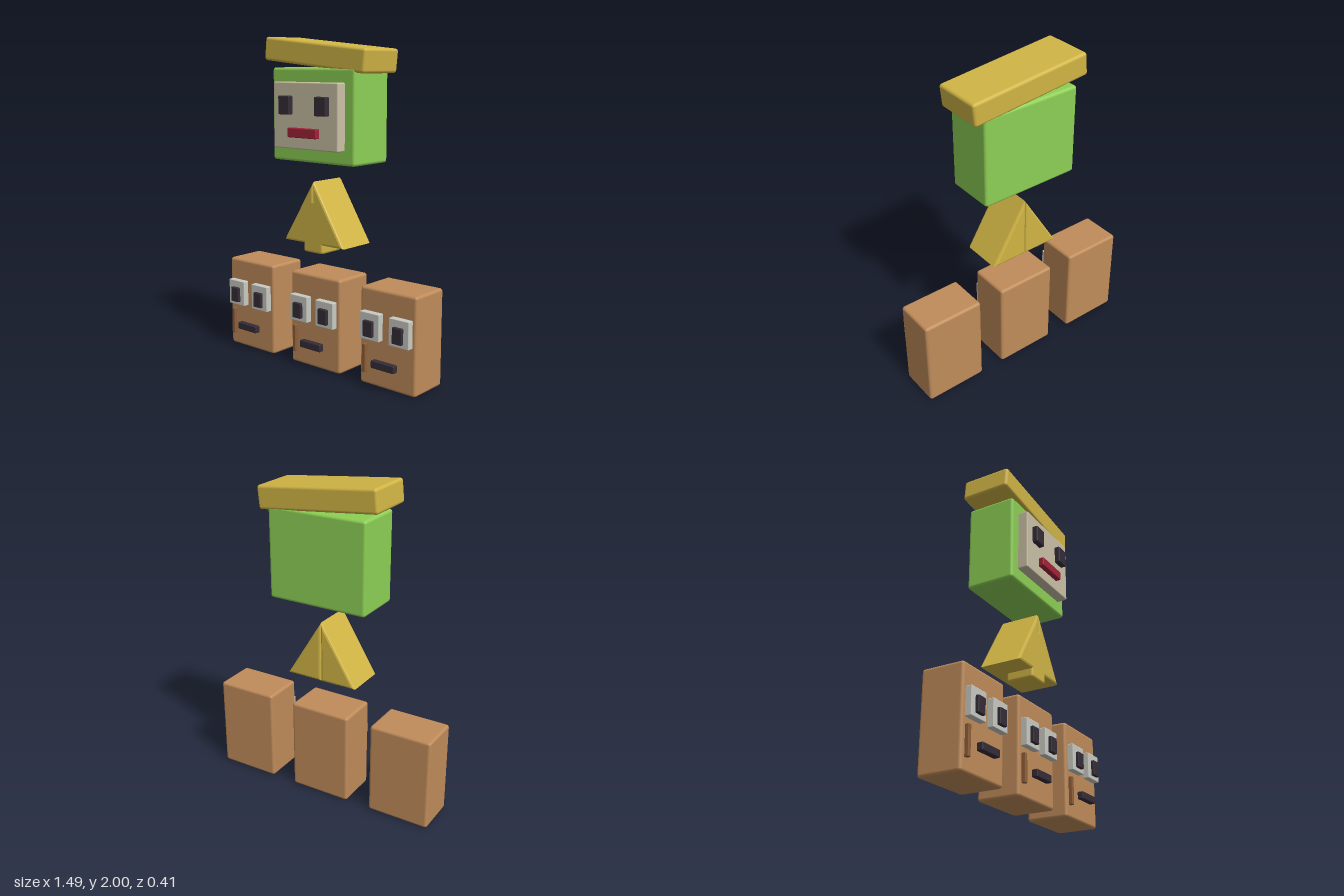
import * as THREE from 'three';
import { RoundedBoxGeometry } from 'three/addons/geometries/RoundedBoxGeometry.js';
import { ConvexGeometry } from 'three/addons/geometries/ConvexGeometry.js';

const mat = (name, color) => {
  const m = new THREE.MeshStandardMaterial({ color });
  m.name = name;
  return m;
};

// Rounded box given by its extents on each axis
function box(name, material, [x0, x1], [y0, y1], [z0, z1], r) {
  const mesh = new THREE.Mesh(new RoundedBoxGeometry(x1 - x0, y1 - y0, z1 - z0, 2, r), material);
  mesh.position.set((x0 + x1) / 2, (y0 + y1) / 2, (z0 + z1) / 2);
  mesh.name = name;
  return mesh;
}

// Right-angled wedge with softened front and back edges; side is +1 or -1
function wedge(name, material, side) {
  const w = 0.233, y0 = 0.777, y1 = 1.155, zBack = -0.157, zFront = 0.107, r = 0.013;
  const base = Math.atan2(y1 - y0, w), apex = Math.PI / 2 - base;
  const points = [];
  for (const [inset, depth] of [[r, 0], [r * 0.3, r * 0.3], [0, r]]) {
    const corners = [
      [inset, y0 + inset],
      [w - inset / Math.tan(base / 2), y0 + inset],
      [inset, y1 - inset / Math.tan(apex / 2)],
    ];
    for (const z of [zBack + depth, zFront - depth])
      for (const [x, y] of corners) points.push(new THREE.Vector3(side * x, y, z));
  }
  const mesh = new THREE.Mesh(new ConvexGeometry(points), material);
  mesh.name = name;
  return mesh;
}

export function createModel() {
  const green = mat('green', 0x8dd055);
  const yellow = mat('yellow', 0xd1b545);
  const brown = mat('brown', 0xc08c5a);
  const darkBrown = mat('dark brown', 0x8f5f38);
  const cream = mat('cream', 0xcbc1a6);
  const white = mat('off white', 0xcbcbc5);
  const dark = mat('near black', 0x352d38);
  const red = mat('red', 0xa32238);

  const model = new THREE.Group();
  model.name = 'stackedFaces';

  // Row of three brown block faces
  for (const x of [-0.548, 0, 0.548]) {
    const block = new THREE.Group();
    block.name = 'blockFace';
    block.position.x = x;
    block.add(box('block', brown, [-0.197, 0.197], [0, 0.583], [-0.178, 0.087], 0.018));
    for (const s of [-1, 1]) {
      const c = s * 0.103;
      block.add(
        box('eyeWhite', white, [c - 0.069, c + 0.069], [0.283, 0.446], [0.08, 0.125], 0.005),
        box('pupil', dark, [c - 0.033, c + 0.033], [0.307, 0.402], [0.115, 0.145], 0.005));
    }
    block.add(
      box('mouth', dark, [-0.081, 0.081], [0.127, 0.172], [0.1, 0.138], 0.006),
      box('cheekBar', darkBrown, [-0.167, -0.143], [0.077, 0.247], [0.085, 0.11], 0.004));
    model.add(block);
  }

  // Triangle of two wedges joined by a flush foot block
  const triangle = new THREE.Group();
  triangle.name = 'triangle';
  triangle.add(
    wedge('leftWedge', yellow, 1),
    wedge('rightWedge', yellow, -1),
    box('triangleFoot', yellow, [-0.076, 0.076], [0.723, 1.04], [-0.072, 0.107], 0.016));
  model.add(triangle);

  // Green head with a raised face plate
  const head = new THREE.Group();
  head.name = 'head';
  head.add(
    box('headBlock', green, [-0.318, 0.318], [1.266, 1.82], [-0.202, 0.11], 0.018),
    box('facePlate', cream, [-0.248, 0.248], [1.349, 1.737], [0.09, 0.173], 0.008),
    box('mouth', red, [-0.11, 0.11], [1.418, 1.474], [0.165, 0.205], 0.006));
  for (const s of [-1, 1])
    head.add(box('eye', dark, [s * 0.14 - 0.043, s * 0.14 + 0.043], [1.549, 1.658], [0.165, 0.205], 0.006));

  // Tilted slab hat
  const hat = box('hat', yellow, [-0.386, 0.386], [1.825, 1.965], [-0.205, 0.108], 0.018);
  hat.rotation.z = -0.1;
  head.add(hat);
  model.add(head);

  return model;
}
